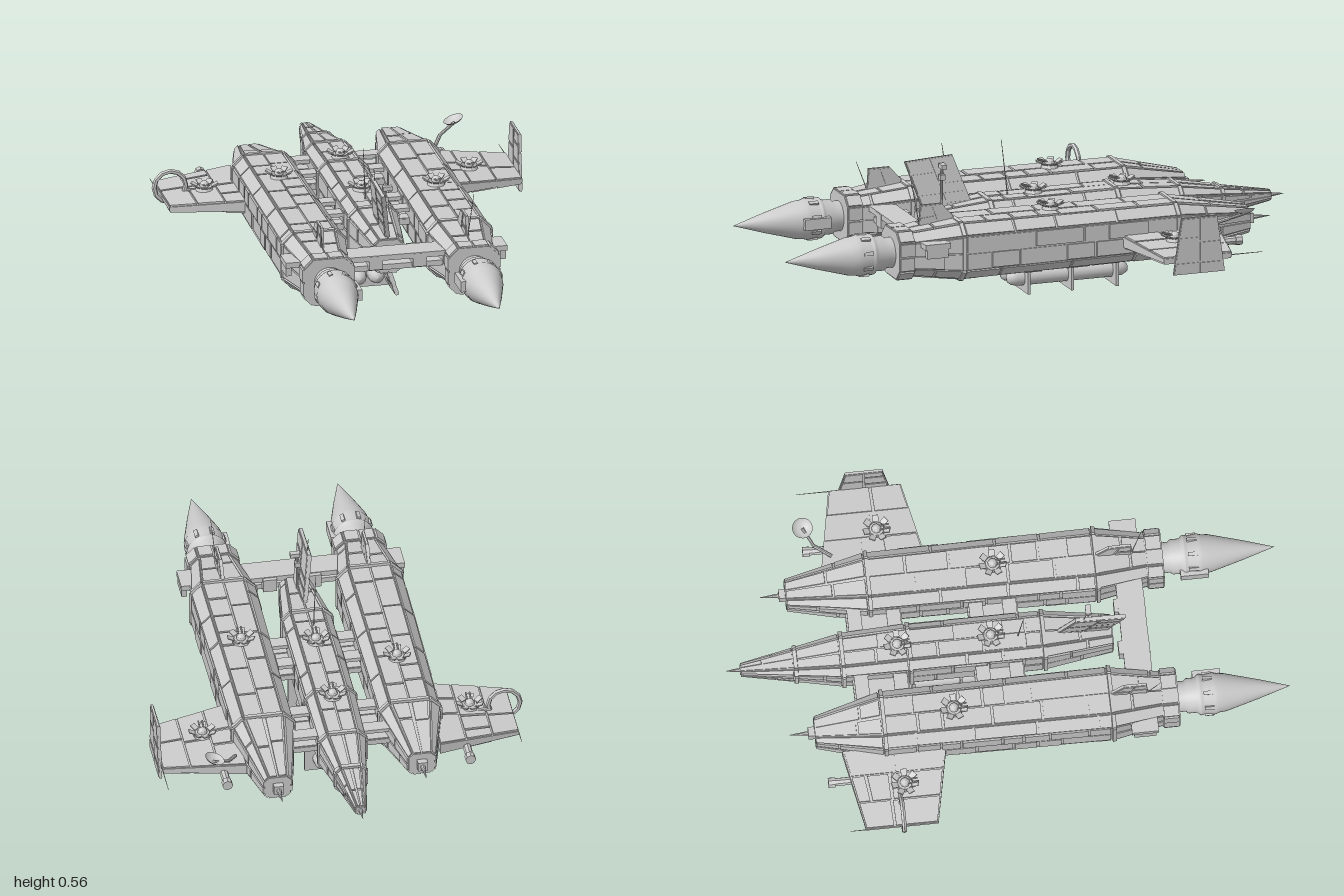
import * as THREE from 'three';
import { mergeGeometries } from 'three/addons/utils/BufferGeometryUtils.js';

const V = (x, y, z) => new THREE.Vector3(x, y, z);
const flat = new THREE.MeshStandardMaterial({ color: 0xcccccc, flatShading: true, side: THREE.DoubleSide });
const smooth = new THREE.MeshStandardMaterial({ color: 0xcccccc, side: THREE.DoubleSide });
let seed = 7;
const rnd = () => (seed = (seed * 16807) % 2147483647) / 2147483647;

// geometry from a list of convex polygons
function polys(list) {
  const pos = [];
  for (const p of list)
    for (let i = 1; i < p.length - 1; i++) for (const v of [p[0], p[i], p[i + 1]]) pos.push(v.x, v.y, v.z);
  const g = new THREE.BufferGeometry();
  g.setAttribute('position', new THREE.Float32BufferAttribute(pos, 3));
  g.computeVertexNormals();
  return g;
}

// solid between two four-cornered faces
function hexa(a, b) {
  const n = a[1].clone().sub(a[0]).cross(a[3].clone().sub(a[0]));
  if (n.dot(b[0].clone().sub(a[0])) < 0) { a = [...a].reverse(); b = [...b].reverse(); }
  const f = [b, [...a].reverse()];
  for (let i = 0; i < 4; i++) { const j = (i + 1) % 4; f.push([a[i], a[j], b[j], b[i]]); }
  return polys(f);
}

// raised plate on part of a quad, offset along the quad normal
function plate(q, u0, u1, v0, v1, h) {
  const at = (u, v) => q[0].clone().lerp(q[1], u).lerp(q[3].clone().lerp(q[2], u), v);
  const n = q[1].clone().sub(q[0]).cross(q[2].clone().sub(q[0])).normalize().multiplyScalar(h);
  const a = [at(u0, v0), at(u1, v0), at(u1, v1), at(u0, v1)];
  return hexa(a, a.map(p => p.clone().add(n)));
}

// rows of plates with uneven lengths, running along v
function panels(q, rows, step, h = 0.006) {
  const out = [], len = q[0].distanceTo(q[3]), gap = 0.004 / len;
  const w = q[0].distanceTo(q[1]), gu = Math.min(0.08, 0.003 / w);
  for (let r = 0; r < rows; r++) {
    for (let v = 0; v < 0.99;) {
      let e = v + (step * (0.6 + rnd())) / len;
      if (e > 1 - 0.04 / len) e = 1;
      out.push(plate(q, r / rows + gu, (r + 1) / rows - gu, v + gap, e - gap, h * (0.6 + 0.6 * rnd())));
      v = e;
    }
  }
  return out;
}

function add(parent, name, geo, mat = flat) {
  const m = new THREE.Mesh(geo, mat);
  m.name = name;
  parent.add(m);
  return m;
}
const box = (w, h, d, x, y, z) => new THREE.BoxGeometry(w, h, d).toNonIndexed().translate(x, y, z);
function rod(a, b, r0, r1 = r0, n = 8) {
  const d = b.clone().sub(a), g = new THREE.CylinderGeometry(r1, r0, d.length(), n);
  g.applyQuaternion(new THREE.Quaternion().setFromUnitVectors(V(0, 1, 0), d.clone().normalize()));
  return g.translate((a.x + b.x) / 2, (a.y + b.y) / 2, (a.z + b.z) / 2);
}
const merge = list => mergeGeometries(list.map(g => {
  const n = g.index ? g.toNonIndexed() : g;
  n.deleteAttribute('uv');
  return n;
}));

// eight-sided hull; each section is [z, half width, half height, chamfer, centre y]
function hull(parent, name, cx, sections) {
  const rings = sections.map(([z, w, h, c, y]) => [[w, c - h], [w, h - c], [w - c, h], [c - w, h],
    [-w, h - c], [-w, c - h], [c - w, -h], [w - c, -h]].map(p => V(cx + p[0], y + p[1], z)));
  const shell = [[...rings[0]].reverse(), rings.at(-1)], skin = [];
  for (let s = 0; s < rings.length - 1; s++)
    for (let i = 0; i < 8; i++) {
      const j = (i + 1) % 8, q = [rings[s][i], rings[s][j], rings[s + 1][j], rings[s + 1][i]];
      shell.push(q);
      skin.push(...panels(q, i % 2 ? 1 : 2, i % 2 ? 0.17 : 0.12));
      // frame band at the joint
      const band = 0.014 / q[0].distanceTo(q[3]);
      if (s) skin.push(plate(q, 0, 1, 0, band, 0.011));
    }
  add(parent, name, polys(shell));
  add(parent, name + 'Panels', merge(skin));
}

// sensor turret with a ring of tilted petals
function turret(parent, x, y, z, s = 1) {
  const g = [new THREE.CylinderGeometry(0.026, 0.032, 0.014, 10).translate(0, 0.007, 0),
    new THREE.SphereGeometry(0.018, 10, 6).translate(0, 0.016, 0)];
  for (let i = 0; i < 7; i++)
    g.push(new THREE.BoxGeometry(0.024, 0.004, 0.022).rotateZ(0.45).translate(0.038, 0.019, 0).rotateY(i * Math.PI / 3.5));
  for (const o of [-0.007, 0.007]) g.push(rod(V(o, 0.02, 0), V(o, 0.032, 0.045), 0.003));
  const m = add(parent, 'turret', merge(g));
  m.position.set(x, y, z);
  m.scale.setScalar(s);
}

function finMesh(parent, name, corners, t) {
  const n = corners[1].clone().sub(corners[0]).cross(corners[2].clone().sub(corners[0])).normalize();
  const off = k => corners.map(p => p.clone().addScaledVector(n, k));
  const a = off(-t / 2), b = off(t / 2);
  add(parent, name, merge([hexa(a, b), ...panels(b, 2, 0.06, 0.003), ...panels([...a].reverse(), 2, 0.06, 0.003)]));
}

export function createModel() {
  const root = new THREE.Group();
  root.name = 'spaceship';
  const C = 0.256;

  // side hulls with their engine cones
  for (const [name, x, nose, tip] of [['rightHull', -0.257, -0.71, -0.8], ['leftHull', 0.273, -0.76, -0.85]]) {
    const g = new THREE.Group();
    g.name = name;
    root.add(g);
    hull(g, name + 'Body', x, [[nose, 0.046, 0.042, 0.014, C], [-0.47, 0.106, 0.095, 0.036, C],
      [0.345, 0.113, 0.1, 0.038, C], [0.54, 0.08, 0.076, 0.03, C]]);
    hull(g, 'rearCollar', x, [[0.53, 0.09, 0.086, 0.034, C], [0.592, 0.09, 0.086, 0.034, C]]);
    add(g, 'noseNub', box(0.035, 0.035, 0.03, x, C, nose - 0.008));
    add(g, 'noseNeedle', rod(V(x, C, nose), V(x, C, tip), 0.012, 0.001));
    const profile = [[0.055, 0.58], [0.055, 0.615], [0.063, 0.625], [0.063, 0.655], [0.074, 0.668], [0.074, 0.675],
      [0.07, 0.685], [0.075, 0.72], [0.07, 0.735], [0.068, 0.76], [0.035, 0.88], [0, 0.995]];
    const cone = new THREE.LatheGeometry(profile.map(p => new THREE.Vector2(...p)), 32).rotateX(Math.PI / 2);
    add(g, 'engineCone', cone, smooth).position.set(x, C, 0);
    const knobs = [box(0.03, 0.04, 0.1, x + Math.sign(-x) * 0.07, C, 0.7)];
    for (let i = 0; i < 8; i++)
      knobs.push(box(0.014, 0.01, 0.035, 0, 0.073, 0.7).rotateZ(i * Math.PI / 4 + 0.3).translate(x, C, 0));
    add(g, 'engineFittings', merge(knobs));
    finMesh(g, 'hullFin', [V(x, 0.32, 0.487), V(x, 0.34, 0.33), V(x, 0.42, 0.4), V(x, 0.42, 0.48)], 0.008);
    add(g, 'antenna', rod(V(x, 0.33, 0.48), V(x + Math.sign(x) * 0.015, x > 0 ? 0.517 : 0.445, 0.52), 0.002, 0.001, 5));
  }

  // centre hull
  const mx = 0.008;
  hull(root, 'centreHull', mx, [[-0.95, 0.016, 0.014, 0.005, C], [-0.757, 0.05, 0.045, 0.016, C],
    [-0.59, 0.08, 0.074, 0.028, C], [-0.35, 0.086, 0.09, 0.03, C], [0.13, 0.086, 0.09, 0.03, C], [0.385, 0.052, 0.06, 0.02, C]]);
  add(root, 'centreNeedle', rod(V(mx, C, -0.94), V(mx, C, -1), 0.01, 0.001));

  // cross beams between the hulls
  const beams = [];
  for (const [z0, z1] of [[-0.555, -0.355], [-0.12, 0.06]]) {
    const d = z1 - z0, z = (z0 + z1) / 2;
    beams.push(box(0.4, 0.018, d, mx, 0.256, z));
    for (const k of [-1, 1]) beams.push(box(0.4, 0.026, 0.045, mx, 0.256, z + k * (d / 2 - 0.025)),
      box(0.4, 0.014, 0.05, mx, 0.298, z + k * (d / 2 - 0.03)));
  }
  beams.push(box(0.81, 0.02, 0.096, mx, 0.298, 0.462), box(0.4, 0.02, 0.06, mx, 0.256, 0.462));
  for (const x of [-0.075, 0.085]) beams.push(box(0.05, 0.05, 0.112, mx + x, 0.28, 0.455));
  for (const x of [-0.385, 0.4]) beams.push(box(0.02, 0.05, 0.08, x, 0.28, 0.462));
  add(root, 'crossBeams', merge(beams));

  // wings
  for (const s of [-1, 1]) {
    const rx = s < 0 ? -0.34 : 0.36, tx = s < 0 ? -0.635 : 0.655;
    const low = [V(rx, 0.222, -0.62), V(tx, 0.228, -0.565), V(tx, 0.228, -0.305), V(rx, 0.222, -0.245)];
    const up = [V(rx, 0.262, -0.62), V(tx, 0.242, -0.565), V(tx, 0.242, -0.305), V(rx, 0.262, -0.245)];
    const wing = new THREE.Group();
    wing.name = s < 0 ? 'rightWing' : 'leftWing';
    root.add(wing);
    add(wing, 'wingSlab', hexa(low, up));
    const top = s < 0 ? [up[0], up[1], up[2], up[3]].reverse() : [up[1], up[0], up[3], up[2]].reverse();
    const bottom = s < 0 ? low : [low[3], low[2], low[1], low[0]];
    if (s > 0) top.reverse();
    const facing = (q, sign) => {
      const ny = q[1].clone().sub(q[0]).cross(q[3].clone().sub(q[0])).y;
      return ny * sign > 0 ? q : [q[1], q[0], q[3], q[2]];
    };
    add(wing, 'wingPanels', merge([...panels(facing(top, 1), 3, 0.1), ...panels(facing(bottom, -1), 3, 0.1)]));
    add(wing, 'wingPod', rod(V(s * 0.44, 0.225, -0.68), V(s * 0.44, 0.225, -0.5), 0.015));
    add(wing, 'wingPodMuzzle', rod(V(s * 0.44, 0.225, -0.68), V(s * 0.44, 0.225, -0.655), 0.019));
    add(wing, 'tipNeedle', rod(V(tx, 0.235, -0.56), V(tx, 0.235, s < 0 ? -0.62 : -0.68), 0.002, 0.001, 5));
    turret(wing, s * 0.484, 0.258, -0.41);
  }
  // vertical tip plate on the left wing, ring antenna on the right wing
  finMesh(root, 'wingTipPlate', [V(0.657, 0.18, -0.34), V(0.657, 0.18, -0.535), V(0.66, 0.388, -0.505), V(0.66, 0.388, -0.37)], 0.008);
  add(root, 'ringAntenna', new THREE.TorusGeometry(0.058, 0.009, 6, 12).translate(-0.605, 0.273, -0.43));
  add(root, 'ringMount', rod(V(-0.548, 0.255, -0.43), V(-0.48, 0.25, -0.43), 0.008));

  // dish on the left wing
  const dishStem = [V(0.395, 0.28, -0.58), V(0.43, 0.305, -0.64), V(0.49, 0.335, -0.675)];
  add(root, 'dishStem', merge([rod(dishStem[0], dishStem[1], 0.007), rod(dishStem[1], dishStem[2], 0.006)]));
  const dish = add(root, 'dish', new THREE.LatheGeometry([[0, 0], [0.018, 0.003], [0.03, 0.009], [0.037, 0.017]]
    .map(p => new THREE.Vector2(...p)), 16), smooth);
  dish.position.set(0.492, 0.333, -0.675);
  dish.rotation.z = 0.35;

  // hull turrets
  for (const [x, y, z] of [[mx, 0.35, -0.386], [mx, 0.35, -0.05], [-0.257, 0.36, -0.21], [0.273, 0.36, -0.016]]) turret(root, x, y, z);
  add(root, 'deckAntenna', rod(V(0, 0.34, 0.045), V(-0.012, 0.55, 0.065), 0.0025, 0.001, 5));

  // tilted tail fin, mast and belly fin
  finMesh(root, 'tailFin', [V(0.012, 0.29, 0.36), V(0.012, 0.29, 0.17), V(-0.022, 0.51, 0.25), V(-0.022, 0.5, 0.43)], 0.012);
  add(root, 'tailAntenna', rod(V(-0.02, 0.5, 0.28), V(-0.024, 0.555, 0.287), 0.002, 0.001, 5));
  add(root, 'sensorMast', merge([rod(V(0.012, 0.3, 0.3), V(0.014, 0.48, 0.3), 0.005),
    box(0.035, 0.016, 0.02, 0.022, 0.482, 0.3), box(0.02, 0.02, 0.02, 0.014, 0.44, 0.3)]));
  finMesh(root, 'bellyFin', [V(0.005, 0.22, 0.34), V(0.005, 0.22, 0.17), V(0.046, 0.095, 0.21), V(0.046, 0.095, 0.36)], 0.012);

  // missile rack under the centre hull
  const rack = new THREE.Group();
  rack.name = 'missileRack';
  root.add(rack);
  const px = 0.011;
  for (const z of [-0.335, -0.165, 0]) add(rack, 'rackPlate', box(0.18, 0.165, 0.01, px, 0.0825, z));
  add(rack, 'rackSpine', box(0.03, 0.03, 0.36, px, 0.16, -0.17));
  const shape = [[0, -0.395], [0.015, -0.39], [0.026, -0.37], [0.029, -0.34], [0.029, 0.03], [0.024, 0.05], [0.015, 0.062], [0, 0.066]];
  for (const x of [-0.032, 0.032]) for (const y of [0.05, 0.115])
    add(rack, 'missile', new THREE.LatheGeometry(shape.map(p => new THREE.Vector2(...p)), 16)
      .rotateX(Math.PI / 2).translate(px + x, y, 0), smooth);
  return root;
}
